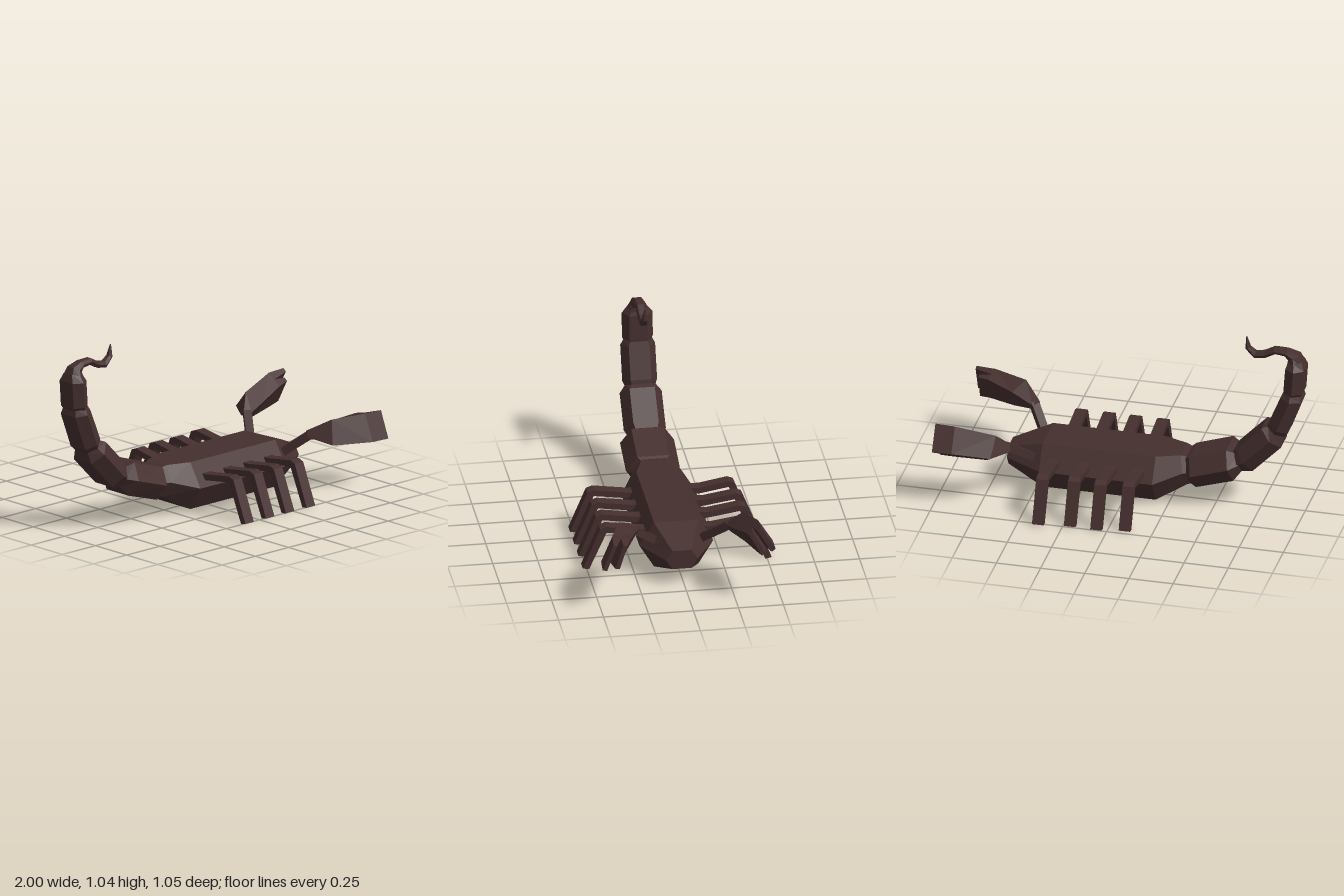
import * as THREE from 'three';

const material = new THREE.MeshStandardMaterial({ color: 0x452f2e, flatShading: true });
const V = (x, y, z) => new THREE.Vector3(x, y, z);

// Skin through cross-sections (arrays of points), capped at both ends
function loft(name, rings) {
  const tris = [];
  const n = rings[0].length;
  for (let r = 0; r < rings.length - 1; r++) {
    for (let i = 0; i < n; i++) {
      const j = (i + 1) % n;
      const a = rings[r][i], b = rings[r][j], c = rings[r + 1][j], d = rings[r + 1][i];
      tris.push([a, b, c], [a, c, d]);
    }
  }
  const last = rings[rings.length - 1];
  for (let i = 1; i < n - 1; i++) {
    tris.push([rings[0][0], rings[0][i + 1], rings[0][i]], [last[0], last[i], last[i + 1]]);
  }
  // Turn the faces outward when the sections run the other way round
  const origin = rings[0][0];
  const volume = tris.reduce((sum, [a, b, c]) => sum + a.clone().sub(origin)
    .dot(b.clone().sub(origin).cross(c.clone().sub(origin))), 0);
  if (volume < 0) tris.forEach((t) => t.reverse());
  const geometry = new THREE.BufferGeometry().setFromPoints(tris.flat());
  geometry.computeVertexNormals();
  const mesh = new THREE.Mesh(geometry, material);
  mesh.name = name;
  return mesh;
}

// Hexagon across the body: upper edge, lower edge, half width
function hexRing([xt, yt, xb, yb, w]) {
  const z0 = 0.013, f = w * 0.6;
  const xm = (xt + xb) / 2, ym = (yt + yb) / 2;
  return [
    V(xt, yt, z0 - f), V(xt, yt, z0 + f), V(xm, ym, z0 + w),
    V(xb, yb, z0 + f), V(xb, yb, z0 - f), V(xm, ym, z0 - w),
  ];
}
const hexLoft = (name, rows) => loft(name, rows.map(hexRing));

// Square bar between two points
function bar(name, a, b, size) {
  const dir = b.clone().sub(a).normalize();
  const side = dir.clone().cross(V(0, 1, 0)).normalize().multiplyScalar(size / 2);
  const up = side.clone().cross(dir);
  const ring = (p) => [[1, 1], [1, -1], [-1, -1], [-1, 1]].map(([s, u]) =>
    p.clone().addScaledVector(side, s).addScaledVector(up, u));
  return loft(name, [ring(a), ring(b)]);
}

// Bent leg, drawn in profile and extruded along the body
function leg(name, x, side, reach) {
  const k = reach / 0.52;
  const profile = [[0.1, 0.225], [0.2, 0.222], [0.39, 0.25], [0.425, 0.237], [0.522, 0.006],
    [0.487, 0], [0.39, 0.215], [0.2, 0.188], [0.1, 0.18]];
  const rings = [x - 0.032, x + 0.032].map((px) =>
    profile.map(([z, y]) => V(px, y, side * (z > 0.3 ? z * k : z))));
  const mesh = loft(name, rings);
  // Caps are concave, so triangulate the profile properly
  const shape = new THREE.Shape(profile.map(([z, y]) => new THREE.Vector2(z > 0.3 ? z * k : z, y)));
  const geometry = new THREE.ExtrudeGeometry(shape, { depth: 0.064, bevelEnabled: false });
  geometry.rotateY(-Math.PI / 2);
  if (side < 0) geometry.rotateY(Math.PI);
  geometry.translate(x + side * 0.032, 0, 0);
  mesh.geometry = geometry;
  return mesh;
}

// Claw: sections list outer top, outer bottom, inner bottom, inner top
function claw(name, wrist, knuckle, palm, outerTip, innerTip) {
  const group = new THREE.Group();
  group.name = name;
  const [ot, ob, ib, it] = palm;
  const mid = (a, b) => a.clone().lerp(b, 0.5);
  const mt = mid(ot, it), mb = mid(ob, ib);
  group.add(
    loft('hand', [wrist, knuckle, palm]),
    loft('outerFinger', [[ot, ob, mb, mt], outerTip]),
    loft('innerFinger', [[mt, mb, ib, it], innerTip]),
  );
  return group;
}

export function createModel() {
  const model = new THREE.Group();

  // Body
  model.add(hexLoft('body', [
    [0.67, 0.21, 0.67, 0.1, 0.088],
    [0.46, 0.288, 0.46, 0.02, 0.205],
    [-0.18, 0.288, -0.18, 0.02, 0.205],
    [-0.31, 0.288, -0.35, 0.115, 0.125],
    [-0.34, 0.28, -0.38, 0.12, 0.11],
  ]));

  // Tail segments, each pinched at its ends
  const tail = [
    [[-0.33, 0.27, -0.36, 0.12, 0.11], [-0.36, 0.288, -0.4, 0.11, 0.15],
      [-0.57, 0.358, -0.61, 0.175, 0.15], [-0.63, 0.33, -0.65, 0.225, 0.1]],
    [[-0.59, 0.33, -0.64, 0.225, 0.095], [-0.625, 0.365, -0.715, 0.24, 0.117],
      [-0.765, 0.51, -0.875, 0.405, 0.117], [-0.8, 0.52, -0.885, 0.465, 0.085]],
    [[-0.79, 0.5, -0.875, 0.455, 0.08], [-0.8, 0.54, -0.91, 0.49, 0.097],
      [-0.87, 0.71, -0.985, 0.69, 0.097], [-0.88, 0.735, -0.975, 0.73, 0.08]],
    [[-0.885, 0.72, -0.975, 0.72, 0.075], [-0.885, 0.745, -0.99, 0.74, 0.086],
      [-0.895, 0.885, -1, 0.885, 0.086], [-0.905, 0.915, -0.985, 0.93, 0.055]],
  ];
  tail.forEach((rows, i) => model.add(hexLoft(`tailSegment${i + 1}`, rows)));

  // Stinger
  model.add(hexLoft('stinger', [
    [-0.9, 0.89, -0.997, 0.895, 0.07],
    [-0.905, 0.93, -0.965, 0.965, 0.042],
    [-0.885, 0.95, -0.9, 0.987, 0.032],
    [-0.83, 0.955, -0.825, 0.99, 0.028],
    [-0.775, 0.925, -0.765, 0.958, 0.026],
    [-0.71, 0.915, -0.72, 0.95, 0.025],
    [-0.66, 0.965, -0.687, 0.975, 0.018],
    [-0.663, 1.035, -0.668, 1.037, 0.003],
  ]));

  // Legs
  const legX = [-0.095, 0.06, 0.21, 0.375];
  const rightReach = [0.48, 0.505, 0.5, 0.522];
  legX.forEach((x, i) => {
    model.add(leg(`nearLeg${i + 1}`, x - (i === 3 ? 0.008 : 0), 1, 0.52));
    model.add(leg(`farLeg${i + 1}`, x + (i === 3 ? 0.01 : 0), -1, rightReach[i]));
  });

  // Arms
  model.add(
    bar('nearArm', V(0.49, 0.19, 0.12), V(0.6, 0.32, 0.27), 0.045),
    bar('farArm', V(0.5, 0.19, -0.1), V(0.62, 0.325, -0.26), 0.045),
  );

  // Claws
  model.add(claw('nearClaw',
    [V(0.57, 0.345, 0.265), V(0.57, 0.31, 0.285), V(0.6, 0.29, 0.26), V(0.6, 0.325, 0.235)],
    [V(0.67, 0.41, 0.365), V(0.64, 0.275, 0.405), V(0.73, 0.262, 0.33), V(0.73, 0.37, 0.28)],
    [V(0.86, 0.42, 0.43), V(0.86, 0.27, 0.492), V(0.88, 0.258, 0.39), V(0.88, 0.4, 0.335)],
    [V(0.97, 0.42, 0.44), V(0.97, 0.27, 0.5), V(0.97, 0.265, 0.475), V(0.97, 0.41, 0.42)],
    [V(0.94, 0.4, 0.38), V(0.94, 0.26, 0.425), V(0.94, 0.257, 0.4), V(0.94, 0.395, 0.357)],
  ));
  model.add(claw('farClaw',
    [V(0.6, 0.345, -0.265), V(0.6, 0.31, -0.29), V(0.63, 0.29, -0.26), V(0.63, 0.33, -0.235)],
    [V(0.67, 0.42, -0.325), V(0.68, 0.32, -0.415), V(0.72, 0.265, -0.33), V(0.74, 0.36, -0.262)],
    [V(0.89, 0.475, -0.375), V(0.89, 0.345, -0.457), V(0.9, 0.285, -0.37), V(0.9, 0.41, -0.3)],
    [V(1, 0.48, -0.375), V(1, 0.345, -0.457), V(1, 0.33, -0.435), V(1, 0.463, -0.355)],
    [V(0.97, 0.44, -0.335), V(0.97, 0.31, -0.405), V(0.97, 0.295, -0.385), V(0.97, 0.425, -0.315)],
  ));

  return model;
}
